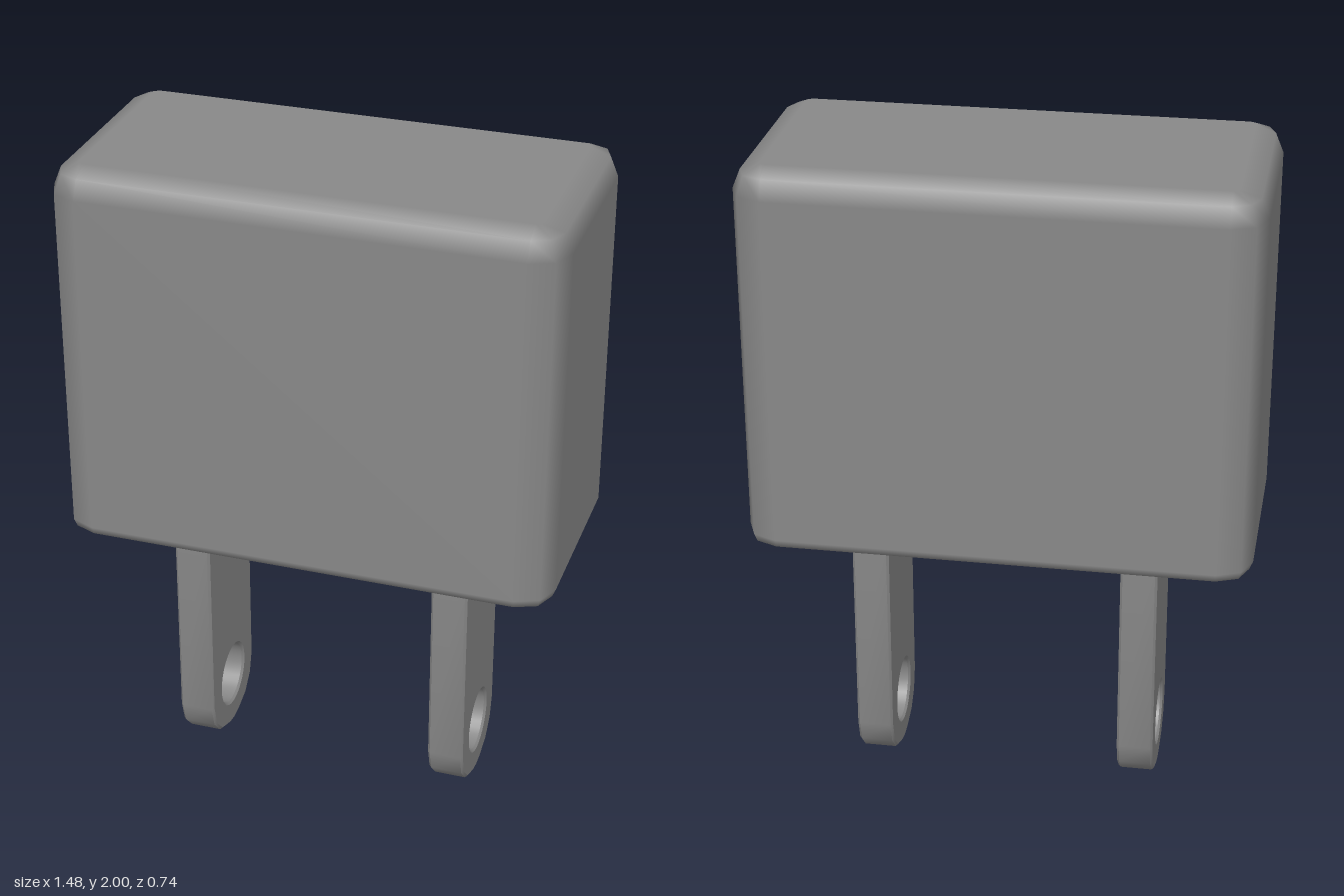
import * as THREE from 'three';
import { toCreasedNormals } from 'three/addons/utils/BufferGeometryUtils.js';

// Box with rounded corners, built from stacked rounded-rectangle rings with smooth normals
function roundedHousing(halfX, halfZ, y0, y1, corner, bottomR, topR) {
  const positions = [], normals = [], indices = [];
  const rings = [
    [bottomR, -2], [bottomR, -1], [bottomR, 0],
    [topR, 0], [topR, 1], [topR, 2],
  ];
  const corners = [[1, 1], [-1, 1], [-1, -1], [1, -1]];
  for (const [r, step] of rings) {
    const phi = step * Math.PI / 4;
    const c = Math.cos(phi), s = Math.sin(phi);
    const inset = r * (1 - c);
    const y = r === topR ? y1 - r + r * s : y0 + r + r * s;
    corners.forEach(([sx, sz], q) => {
      for (let k = 0; k < 3; k++) {
        const t = (q + k / 2) * Math.PI / 2;
        const rad = corner - inset;
        positions.push(
          sx * (halfX - corner) + rad * Math.cos(t), y,
          sz * (halfZ - corner) + rad * Math.sin(t));
        normals.push(c * Math.cos(t), s, c * Math.sin(t));
      }
    });
  }
  const n = 12, last = (rings.length - 1) * n;
  for (let i = 0; i < rings.length - 1; i++) {
    for (let j = 0; j < n; j++) {
      const a = i * n + j, b = i * n + (j + 1) % n;
      indices.push(a, a + n, b + n, a, b + n, b);
    }
  }
  // Flat bottom and top
  for (let j = 1; j < n - 1; j++) {
    indices.push(0, j, j + 1, last, last + j + 1, last + j);
  }
  const g = new THREE.BufferGeometry();
  g.setAttribute('position', new THREE.Float32BufferAttribute(positions, 3));
  g.setAttribute('normal', new THREE.Float32BufferAttribute(normals, 3));
  g.setIndex(indices);
  return g;
}

// Flat blade with a rounded tip and a round hole, thickness along x
function prongGeometry() {
  const half = [[0.04, 0.005], [0.11, 0.03], [0.157, 0.08], [0.177, 0.15], [0.177, 0.87]];
  const outline = [
    [0, 0], ...half,
    ...half.slice().reverse().map(([z, y]) => [-z, y]),
  ].map(([z, y]) => new THREE.Vector2(z, y));
  const shape = new THREE.Shape(outline);
  const hole = new THREE.Path();
  hole.absarc(0, 0.175, 0.097, 0, Math.PI * 2, true);
  shape.holes.push(hole);

  const thickness = 0.11, bevel = 0.007;
  const g = new THREE.ExtrudeGeometry(shape, {
    depth: thickness - 2 * bevel,
    bevelEnabled: true, bevelSize: bevel, bevelThickness: bevel,
    bevelOffset: -bevel, bevelSegments: 1, curveSegments: 14,
  });
  g.translate(0, 0, bevel - thickness / 2);
  g.rotateY(Math.PI / 2);
  return toCreasedNormals(g, 0.7);
}

export function createModel() {
  const group = new THREE.Group();
  group.name = 'plugAdapter';
  const grey = new THREE.MeshStandardMaterial({ color: 0x888888 });
  grey.name = 'grey';

  // Main block, with softer edges on top than underneath
  const housing = new THREE.Mesh(
    roundedHousing(0.74, 0.368, 0.84, 2, 0.1, 0.035, 0.08), grey);
  housing.name = 'housing';
  group.add(housing);

  // Pair of contact blades
  const blade = prongGeometry();
  for (const [name, x] of [['leftProng', 0.403], ['rightProng', -0.403]]) {
    const prong = new THREE.Mesh(blade, grey);
    prong.name = name;
    prong.position.x = x;
    group.add(prong);
  }
  return group;
}
